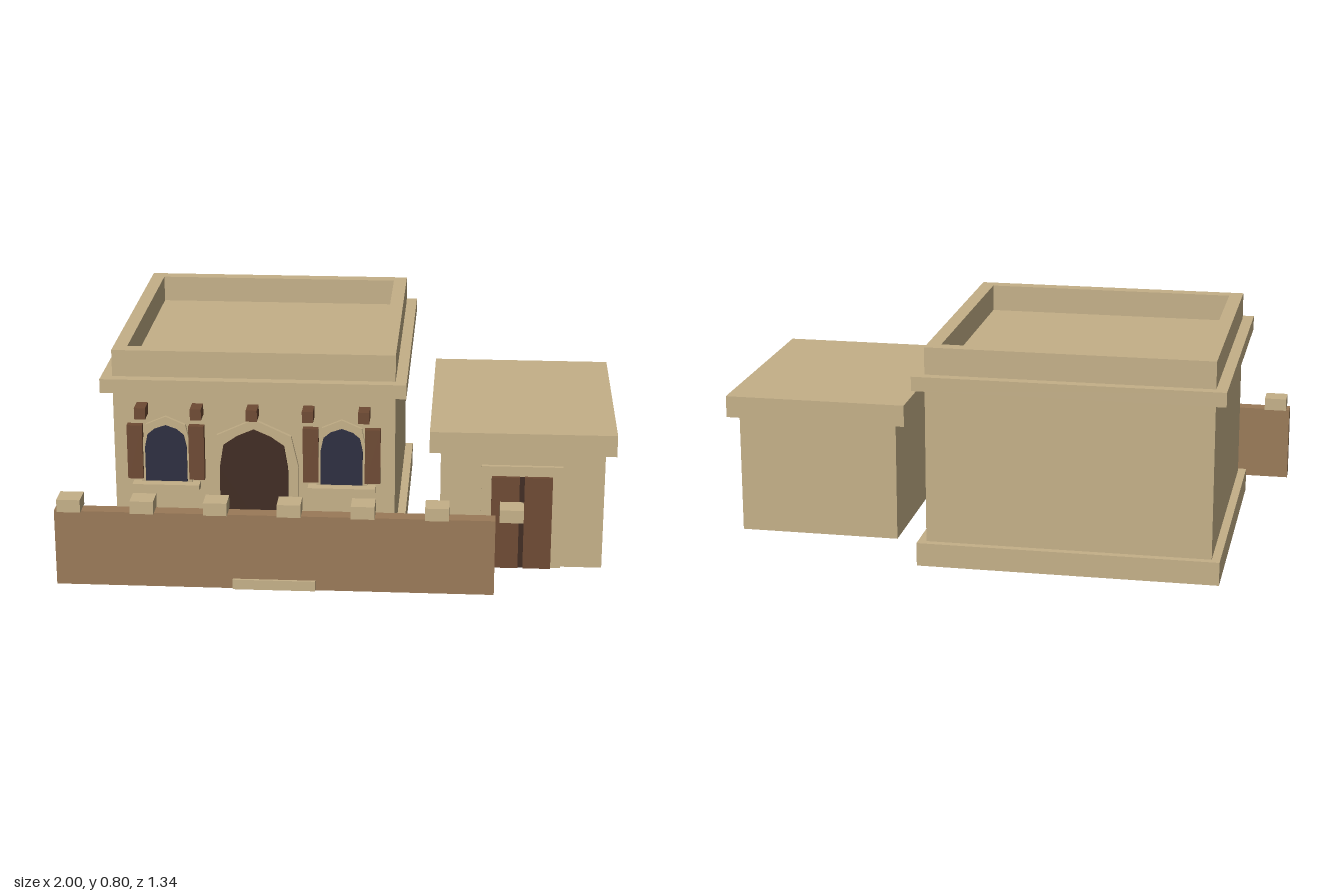
import * as THREE from 'three';

const mat = (name, color) => {
  const m = new THREE.MeshStandardMaterial({ color });
  m.name = name;
  return m;
};

export function createModel() {
  const group = new THREE.Group();
  const plaster = mat('plaster', 0xc4b088);
  const mudBrick = mat('mudBrick', 0x9a7a58);
  const wood = mat('wood', 0x6e4a33);
  const darkWood = mat('darkWood', 0x402b22);
  const glass = mat('glass', 0x2c2d40);

  const add = (name, geometry, material) => {
    const mesh = new THREE.Mesh(geometry, material);
    mesh.name = name;
    group.add(mesh);
    return mesh;
  };
  // Box given by its limits on each axis
  const box = (name, material, x0, x1, y0, y1, z0, z1) => {
    const mesh = add(name, new THREE.BoxGeometry(x1 - x0, y1 - y0, z1 - z0), material);
    mesh.position.set((x0 + x1) / 2, (y0 + y1) / 2, (z0 + z1) / 2);
    return mesh;
  };
  // Faceted pointed arch; right = [halfWidth, y] points from the base upwards, ending at the apex
  const arch = (name, material, x, right, z0, z1) => {
    const left = right.slice(0, -1).reverse().map(([a, y]) => [-a, y]);
    const shape = new THREE.Shape([...right, ...left].map(([a, y]) => new THREE.Vector2(a, y)));
    const geometry = new THREE.ExtrudeGeometry(shape, { depth: z1 - z0, bevelEnabled: false });
    add(name, geometry, material).position.set(x, 0, z0);
  };

  // Main house: plinth, walls, cornice
  box('housePlinth', plaster, -0.85, 0.23, 0, 0.085, -0.66, 0.417);
  box('houseWalls', plaster, -0.82, 0.2, 0.001, 0.7, -0.633, 0.393);
  box('houseCornice', plaster, -0.86, 0.24, 0.65, 0.702, -0.67, 0.432);

  // Parapet ring around the flat roof
  const rect = (Type, w, d) => new Type([[-w, -d], [w, -d], [w, d], [-w, d]]
    .map(([x, y]) => new THREE.Vector2(x, y)));
  const ring = rect(THREE.Shape, 0.51, 0.513);
  ring.holes.push(rect(THREE.Path, 0.46, 0.462));
  const parapet = add('parapet', new THREE.ExtrudeGeometry(ring, { depth: 0.1, bevelEnabled: false }), plaster);
  parapet.rotation.x = -Math.PI / 2;
  parapet.position.set(-0.31, 0.7, -0.12);

  // Main doorway
  arch('doorSurround', plaster, -0.31,
    [[0.16, 0.002], [0.162, 0.37], [0.135, 0.49], [0, 0.552]], 0.39, 0.41);
  arch('doorway', darkWood, -0.31,
    [[0.124, 0.002], [0.124, 0.37], [0.11, 0.455], [0.06, 0.49], [0, 0.516]], 0.39, 0.421);

  // Arched windows with shutters and sills
  for (const x of [-0.63, 0.008]) {
    arch('windowSurround', plaster, x,
      [[0.092, 0.3], [0.092, 0.43], [0.072, 0.525], [0, 0.556]], 0.39, 0.407);
    arch('windowGlass', glass, x,
      [[0.076, 0.31], [0.076, 0.44], [0.066, 0.488], [0.04, 0.51], [0, 0.524]], 0.404, 0.412);
    box('windowSill', plaster, x - 0.122, x + 0.122, 0.283, 0.306, 0.39, 0.441);
    for (const s of [-1, 1]) {
      const c = x + s * 0.112;
      box('shutter', wood, c - 0.028, c + 0.028, 0.32, 0.525, 0.39, 0.42);
    }
  }

  // Projecting roof beams
  for (let i = 0; i < 5; i++) {
    const x = -0.714 + i * 0.201;
    box('roofBeam', wood, x - 0.02, x + 0.02, 0.563, 0.605, 0.385, 0.461);
  }

  // Side annex
  box('annexWalls', plaster, 0.365, 0.957, 0, 0.45, -0.4, 0.387);
  box('annexRoof', plaster, 0.325, 0.995, 0.445, 0.525, -0.436, 0.422);
  box('annexDoorFrame', plaster, 0.513, 0.807, 0.001, 0.392, 0.38, 0.402);
  box('annexDoorGap', darkWood, 0.55, 0.77, 0.001, 0.354, 0.39, 0.407);
  box('annexDoorLeaf', wood, 0.55, 0.651, 0.002, 0.355, 0.39, 0.416);
  box('annexDoorLeaf', wood, 0.669, 0.77, 0.002, 0.355, 0.39, 0.416);

  // Courtyard wall with cap blocks and a threshold
  box('courtyardWall', mudBrick, -1, 0.565, 0, 0.282, 0.601, 0.656);
  for (let i = 0; i < 7; i++) {
    const x = -0.945 + i * 0.261;
    box('wallCap', plaster, x - 0.042, x + 0.042, 0.282, 0.329, 0.587, 0.67);
  }
  box('threshold', plaster, -0.365, -0.07, 0, 0.037, 0.594, 0.666);

  // Six-sided pot
  const profile = [[0, 0], [0.045, 0], [0.069, 0.06], [0.048, 0.105], [0.063, 0.138], [0, 0.138]];
  const potGeometry = new THREE.LatheGeometry(profile.map(([r, y]) => new THREE.Vector2(r, y)), 6, Math.PI / 6)
    .toNonIndexed();
  potGeometry.computeVertexNormals();
  add('pot', potGeometry, wood).position.set(-0.685, 0, 0.44);

  return group;
}
